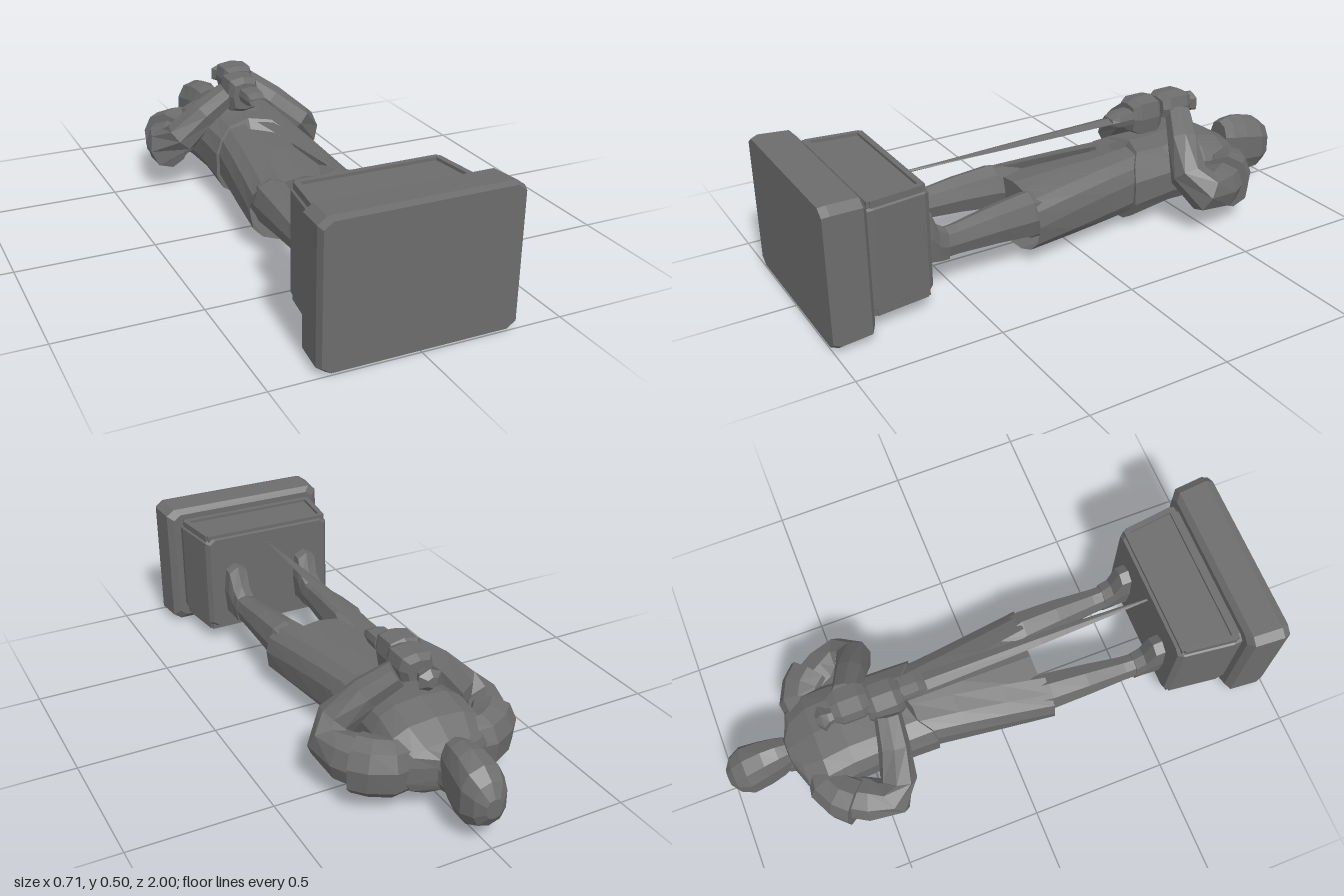
import * as THREE from 'three';

const material = new THREE.MeshStandardMaterial({ color: 0x6c6c6c, flatShading: true, side: THREE.DoubleSide });

// Skins rings given as [x, y, z, rx, ry, gap]. Rings face z, or follow the path when bend is set.
// pow below 1 squares the ring off; gap (radians) leaves the ring open towards +y.
function loft(rings, { sides = 10, pow = 0.85, phase = 0, bend = false, open = false, shape = null } = {}) {
  const pos = [], idx = [], up = new THREE.Vector3(0, 1, 0);
  const centres = rings.map(r => new THREE.Vector3(r[0], r[1], r[2]));
  const sp = v => Math.sign(v) * Math.abs(v) ** pow;
  const last = rings.length - 1;
  rings.forEach(([, , , rx, ry, gap = 0], i) => {
    const t = new THREE.Vector3(0, 0, 1);
    if (bend) t.subVectors(centres[Math.min(i + 1, last)], centres[Math.max(i - 1, 0)]).normalize();
    const u = new THREE.Vector3().crossVectors(up, t).normalize();
    const v = new THREE.Vector3().crossVectors(t, u);
    for (let j = 0; j <= sides; j++) {
      const a = Math.PI / 2 + phase + gap + (j / sides) * (2 * Math.PI - 2 * gap);
      const p = centres[i].clone().addScaledVector(u, sp(Math.cos(a)) * rx).addScaledVector(v, sp(Math.sin(a)) * ry);
      if (shape) shape(p, i, a);
      pos.push(p.x, p.y, p.z);
    }
  });
  const row = sides + 1;
  for (let i = 0; i < last; i++) for (let j = 0; j < sides; j++) {
    const a = i * row + j, d = a + row;
    idx.push(a, a + 1, d + 1, a, d + 1, d);
  }
  if (!open) {
    const c = pos.length / 3;
    pos.push(...centres[0].toArray(), ...centres[last].toArray());
    for (let j = 0; j < sides; j++) idx.push(c, j + 1, j, c + 1, last * row + j, last * row + j + 1);
  }
  const g = new THREE.BufferGeometry();
  g.setAttribute('position', new THREE.Float32BufferAttribute(pos, 3));
  g.setIndex(idx);
  g.computeVertexNormals();
  return g;
}

export function createModel() {
  const model = new THREE.Group();
  const add = (name, geometry) => {
    const mesh = new THREE.Mesh(geometry, material);
    mesh.name = name;
    model.add(mesh);
    return mesh;
  };
  const box = (name, w, h, d, x, y, z) => {
    const mesh = add(name, new THREE.BoxGeometry(w, h, d));
    mesh.position.set(x, y, z);
    return mesh;
  };

  // Two-step plinth; the figure lies along z with its head at -z and its chest towards +y
  const block = { sides: 8, pow: 0.11, phase: Math.PI / 8 };
  add('plinthFoot', loft([
    [0, 0.25, 0.85, 0.31, 0.225], [0, 0.25, 0.868, 0.335, 0.245],
    [0, 0.25, 0.975, 0.343, 0.25], [0, 0.25, 1, 0.334, 0.243],
  ], block));
  add('plinthBlock', loft([
    [0, 0.255, 0.617, 0.25, 0.187], [0, 0.255, 0.635, 0.265, 0.193],
    [0, 0.255, 0.82, 0.288, 0.193], [0, 0.255, 0.86, 0.283, 0.19],
  ], block));
  // Raised frames on the front and back of the block
  for (const y of [0.445, 0.065]) {
    box('frameTop', 0.5, 0.024, 0.02, 0, y, 0.638);
    box('frameBottom', 0.55, 0.024, 0.022, 0, y, 0.826);
    for (const s of [-1, 1]) box('frameSide', 0.02, 0.024, 0.19, s * 0.258, y, 0.733).rotation.y = s * 0.12;
  }

  // Trunk
  add('hips', loft([
    [0, 0.155, -0.32, 0.14, 0.1], [0, 0.15, -0.1, 0.15, 0.105], [0, 0.15, 0.17, 0.18, 0.095],
  ]));
  add('skirt', loft([
    [0, 0.165, -0.3, 0.15, 0.118, 0.08], [0, 0.16, -0.15, 0.168, 0.122, 0.16],
    [0, 0.155, 0.02, 0.19, 0.122, 0.26], [0, 0.15, 0.185, 0.212, 0.12, 0.36],
  ], {
    sides: 14, pow: 0.7, open: true,
    // The hem hangs a little lower at the back
    shape: (p, i, a) => { if (i === 3) p.z += 0.02 * Math.max(0, -Math.sin(a)); },
  }));
  add('jacket', loft([
    [0, 0.15, -0.77, 0.055, 0.07], [0, 0.15, -0.735, 0.155, 0.09],
    [0, 0.165, -0.66, 0.19, 0.12], [0, 0.178, -0.56, 0.182, 0.132],
    [0, 0.168, -0.42, 0.17, 0.122], [0, 0.155, -0.25, 0.168, 0.138],
  ], {
    sides: 14, pow: 0.75,
    // The front hem rises to a point in the middle
    shape: (p, i, a) => { if (i === 5) p.z -= 0.08 * Math.max(0, Math.sin(a)) ** 4; },
  }));
  add('collar', loft([
    [0, 0.14, -0.79, 0.052, 0.068], [0, 0.142, -0.755, 0.062, 0.075], [0, 0.15, -0.725, 0.11, 0.09],
  ]));

  // Head, tapering from the crown to a chin that juts towards +y
  add('head', loft([
    [0, 0.15, -1, 0.03, 0.035], [0, 0.153, -0.975, 0.062, 0.08], [0, 0.158, -0.93, 0.082, 0.108],
    [0, 0.163, -0.86, 0.072, 0.122], [0, 0.172, -0.805, 0.061, 0.112], [0, 0.185, -0.768, 0.05, 0.088],
  ], { sides: 10, pow: 0.8 }));

  for (const s of [-1, 1]) {
    const side = s > 0 ? 'left' : 'right';
    // Leg and boot
    add(side + 'Leg', loft([
      [s * 0.11, 0.165, 0.08, 0.065, 0.07], [s * 0.13, 0.18, 0.19, 0.068, 0.085],
      [s * 0.138, 0.18, 0.33, 0.058, 0.07], [s * 0.145, 0.172, 0.48, 0.044, 0.055],
      [s * 0.148, 0.168, 0.57, 0.04, 0.055],
    ], { sides: 8 }));
    add(side + 'Boot', loft([
      [s * 0.148, 0.17, 0.52, 0.042, 0.058], [s * 0.148, 0.18, 0.555, 0.042, 0.07],
      [s * 0.15, 0.218, 0.582, 0.045, 0.108], [s * 0.15, 0.22, 0.622, 0.046, 0.112],
    ], { sides: 8, pow: 0.6 }));

    // Shoulder flap over a bent arm; the left hand grips nearer the pommel
    add(side + 'ShoulderFlap', loft([
      [s * 0.08, 0.15, -0.67, 0.06, 0.09], [s * 0.17, 0.152, -0.668, 0.08, 0.1],
      [s * 0.22, 0.155, -0.64, 0.083, 0.102], [s * 0.258, 0.157, -0.598, 0.085, 0.102],
    ], { sides: 9, bend: true }));
    const handZ = s > 0 ? -0.51 : -0.395;
    add(side + 'Arm', loft([
      [s * 0.215, 0.15, -0.64, 0.075, 0.08], [s * 0.265, 0.155, -0.55, 0.08, 0.08],
      [s * 0.285, 0.165, -0.47, 0.074, 0.078], [s * 0.24, 0.22, -0.432, 0.066, 0.066],
      [s * 0.15, 0.315, (handZ - 0.425) / 2, 0.056, 0.055], [s * 0.06, 0.385, handZ, 0.048, 0.047],
    ], { sides: 8, bend: true }));
    const y = s > 0 ? 0.412 : 0.385, h = s > 0 ? 0.05 : 0.07;
    add(side + 'Hand', loft([
      [s * 0.012, y, handZ - 0.062, 0.045, h * 0.7], [s * 0.012, y, handZ - 0.035, 0.062, h],
      [s * 0.012, y, handZ + 0.04, 0.062, h], [s * 0.012, y, handZ + 0.068, 0.048, h * 0.75],
    ], { sides: 8, pow: 0.5 }));
  }

  // Sword, point down on the plinth
  add('pommel', loft([
    [0, 0.395, -0.632, 0.02, 0.02], [0, 0.395, -0.612, 0.047, 0.04],
    [0, 0.395, -0.59, 0.03, 0.03], [0, 0.395, -0.56, 0.022, 0.022],
  ], { sides: 6 }));
  add('grip', loft([[0, 0.393, -0.58, 0.02, 0.02], [0, 0.39, -0.29, 0.024, 0.022]], { sides: 6 }));
  add('guard', loft([
    [0, 0.393, -0.325, 0.04, 0.028], [0, 0.392, -0.265, 0.038, 0.026], [0, 0.39, -0.235, 0.032, 0.014],
  ], { sides: 8, pow: 0.5 }));
  add('blade', loft([
    [0, 0.39, -0.26, 0.034, 0.011], [0, 0.388, 0.2, 0.022, 0.008], [0, 0.386, 0.62, 0.005, 0.005],
  ], { sides: 4, pow: 1 }));

  return model;
}
